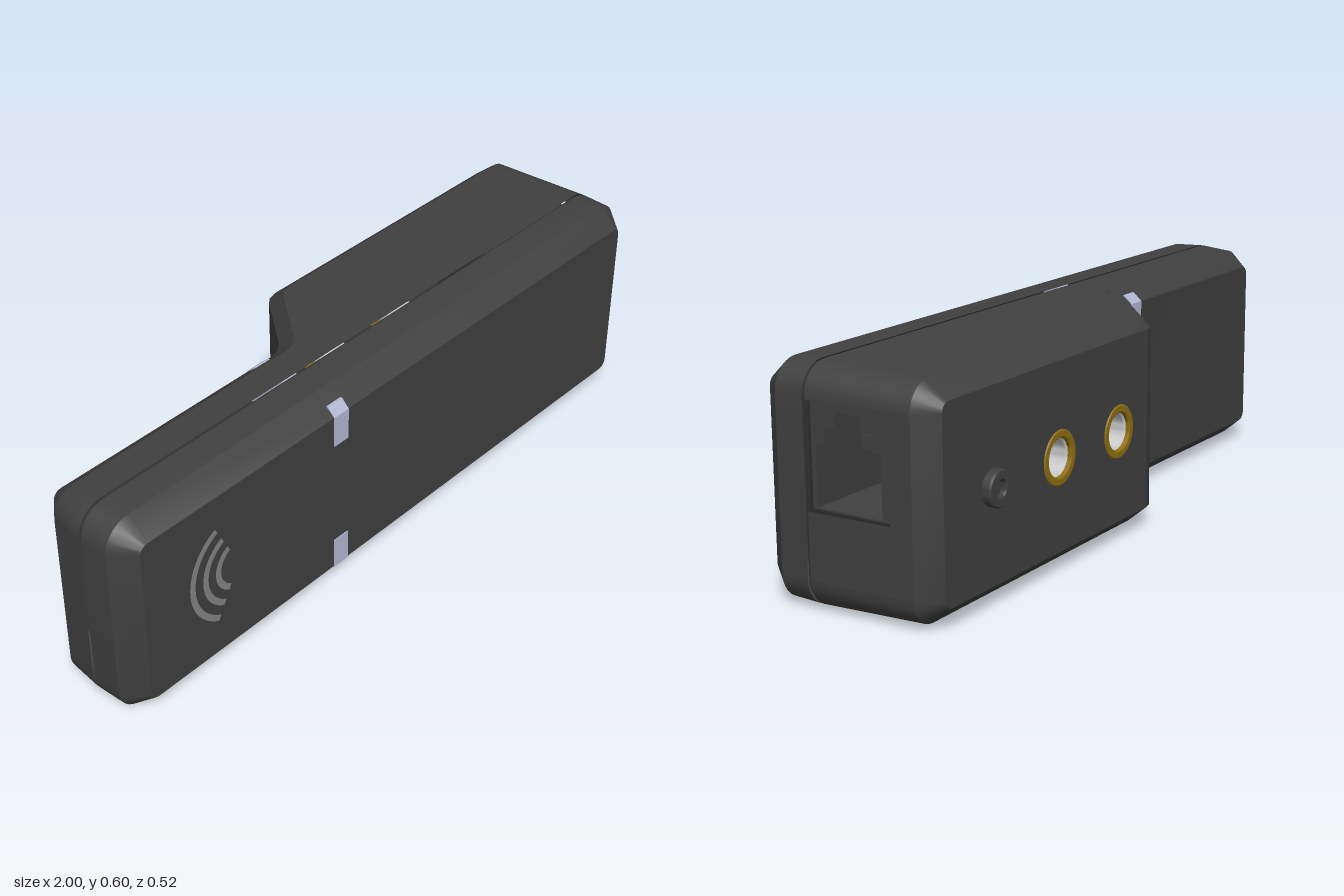
import * as THREE from 'three';
import { toCreasedNormals } from 'three/addons/utils/BufferGeometryUtils.js';

const CY = 0.3, R = 0.08, INSET = 0.055, SEAM = 0.111, DEEP = -0.238;
const mat = (color) => new THREE.MeshStandardMaterial({ color, side: THREE.DoubleSide });
const dark = mat(0x404040), black = mat(0x303030), gold = mat(0x907010);
const light = mat(0xb4b9d6), metal = mat(0xcccccc), print = mat(0x848484);

// Back surface: thin handle on the left, ramp, then the deep housing
const ramp = [[-0.2, -0.037], [-0.17, -0.043], [-0.14, -0.065], [-0.02, -0.215], [0, -0.231], [0.03, DEEP]];
function backZ(x) {
  if (x <= ramp[0][0]) return ramp[0][1];
  for (let i = 1; i < ramp.length; i++) {
    const [x0, z0] = ramp[i - 1], [x1, z1] = ramp[i];
    if (x <= x1) return z0 + (z1 - z0) * (x - x0) / (x1 - x0);
  }
  return DEEP;
}

// Upper half of a rounded outline, from left end to right end, shrunk by d
function outline(d) {
  const pts = [], n = 7, r = R - d;
  for (let i = 0; i <= n; i++) {
    const a = Math.PI - (i / n) * Math.PI / 2;
    pts.push([-1 + R + r * Math.cos(a), CY - R + r * Math.sin(a)]);
  }
  const right = pts.map(([x, h]) => [-x, h]).reverse();
  return [...pts, ...ramp.map(([x]) => [x, CY - d]), ...right];
}

// Half shell: seam ring, drafted wall, chamfer, flat cap; flip = -1 mirrors it to the front
function shellGeometry({ seam, back, chamfer, draft, flip = 1, capUntil = Infinity, openEnd = false }) {
  const rim = outline(0), wall = outline(draft), inner = outline(INSET);
  const rows = rim.map(([x, h], i) => {
    const zb = back(inner[i][0]);
    const half = [[x, h, seam], [...wall[i], zb + chamfer], [...inner[i], zb]];
    const low = half.map(([a, b, c]) => [a, -b, c]).reverse();
    return [...half, ...low].map(([a, b, c]) => [a, CY + b, c * flip]);
  });
  const pos = [];
  const quad = (a, b, c, d) => {
    const f = flip > 0 ? [a, b, c, a, c, d] : [a, c, b, a, d, c];
    f.forEach((p) => pos.push(...p));
  };
  for (let i = 0; i < rows.length - 1; i++) {
    for (let k = 0; k < 5; k++) {
      if (k === 2 && inner[i][0] >= capUntil) continue;
      quad(rows[i][k], rows[i + 1][k], rows[i + 1][k + 1], rows[i][k + 1]);
    }
  }
  const L = rows[0], E = rows[rows.length - 1];
  quad(L[0], L[1], L[4], L[5]);
  quad(L[1], L[2], L[3], L[4]);
  quad(E[4], E[3], E[2], E[1]);
  if (!openEnd) quad(E[5], E[4], E[1], E[0]);
  const g = new THREE.BufferGeometry();
  g.setAttribute('position', new THREE.Float32BufferAttribute(pos, 3));
  return toCreasedNormals(g, 0.6);
}

const shapeOf = (pts) => new THREE.Shape(pts.map(([x, y]) => new THREE.Vector2(x, y)));
// Shape given as [z, y], extruded along x from x0 to x1
function prismX(pts, x0, x1, hole) {
  const s = shapeOf(pts.map(([z, y]) => [-z, y]));
  if (hole) s.holes.push(shapeOf(hole.map(([z, y]) => [-z, y])));
  return new THREE.ExtrudeGeometry(s, { depth: x1 - x0, bevelEnabled: false }).rotateY(Math.PI / 2).translate(x0, 0, 0);
}
// Turned part facing the back, profile as [radius, height above the back]
function turned(profile, x) {
  const g = new THREE.LatheGeometry(profile.map(([r, h]) => new THREE.Vector2(r, h)), 40);
  return toCreasedNormals(g.rotateX(-Math.PI / 2), 0.5).translate(x, CY, DEEP);
}

export function createModel() {
  const group = new THREE.Group();
  const add = (name, geometry, material) => {
    const m = new THREE.Mesh(geometry, material);
    m.name = name;
    group.add(m);
    return m;
  };

  // Housing halves
  add('frontShell', shellGeometry({ seam: -0.119, back: () => -0.26, chamfer: 0.06, draft: 0.003, flip: -1 }), dark);
  const draft = 0.009;
  add('rearShell', shellGeometry({ seam: SEAM, back: backZ, chamfer: 0.055, draft, capUntil: 0.03, openEnd: true }), dark);

  // Recessed seam between the halves
  const seamTop = outline(0.008).map(([x, h]) => [x, CY + h]);
  const seamLow = outline(0.008).map(([x, h]) => [x, CY - h]).reverse();
  add('seam', new THREE.ExtrudeGeometry(shapeOf([...seamTop, ...seamLow]), { depth: 0.014, bevelEnabled: false })
    .translate(0, 0, 0.108), black);

  // Flat back of the deep housing, with two bushing holes
  const bushingX = [0.175, 0.46];
  const flat = outline(INSET).filter(([x]) => x >= 0.03);
  const plate = shapeOf([...flat.map(([x, h]) => [-x, CY + h]), ...flat.map(([x, h]) => [-x, CY - h]).reverse()]);
  bushingX.forEach((x) => plate.holes.push(new THREE.Path().absarc(-x, CY, 0.071, 0, Math.PI * 2, true)));
  add('backPlate', new THREE.ShapeGeometry(plate, 40).rotateY(Math.PI).translate(0, 0, DEEP), dark);

  // Threaded bushings with gold collars
  bushingX.forEach((x) => {
    add('bushingCollar', turned([[0.05, -0.03], [0.05, 0], [0.054, 0.003], [0.069, 0.003], [0.072, 0], [0.072, -0.03]], x), gold);
    add('bushingBore', turned([[0, -0.13], [0.045, -0.13], [0.045, -0.012], [0.05, -0.008]], x), metal);
  });

  // Round button with a hollow centre
  add('button', turned([[0, 0.01], [0.02, 0.01], [0.02, 0.02], [0.024, 0.024], [0.043, 0.024], [0.047, 0.02], [0.047, -0.01]], 0.75), dark);

  // Right end wall, notched for the socket and leaning with the draft
  const wall = new THREE.ShapeGeometry(shapeOf([
    [SEAM, 0.52], [-0.183, 0.52], [-0.183, 0.08], [SEAM, 0.08],
    [SEAM, 0.25], [-0.122, 0.25], [-0.122, 0.517], [SEAM, 0.517],
  ].map(([z, y]) => [-z, y]))).rotateY(Math.PI / 2);
  const p = wall.attributes.position;
  for (let i = 0; i < p.count; i++) p.setX(i, 1 - draft * (SEAM - p.getZ(i)) / (SEAM + 0.183));
  wall.computeVertexNormals();
  add('endWall', wall, dark);

  // Socket with a stepped opening
  const socketHole = [
    [-0.093, 0.257], [0.095, 0.257], [0.095, 0.413], [0.07, 0.413], [0.07, 0.455], [0.037, 0.455],
    [0.037, 0.494], [-0.037, 0.494], [-0.037, 0.455], [-0.068, 0.455], [-0.068, 0.413], [-0.093, 0.413],
  ];
  add('socket', prismX([[-0.119, 0.253], [0.117, 0.253], [0.117, 0.514], [-0.119, 0.514]], 0.6, 0.983, socketHole), dark);
  add('socketBack', new THREE.BoxGeometry(0.02, 0.26, 0.23).translate(0.6, 0.384, 0), black);
  add('socketShelf', new THREE.BoxGeometry(0.25, 0.034, 0.117).translate(0.75, 0.397, -0.01), dark);
  add('socketContact', new THREE.BoxGeometry(0.02, 0.032, 0.009).translate(0.62, 0.397, 0.065), metal);
  add('socketLamp', new THREE.BoxGeometry(0.02, 0.064, 0.037).translate(0.62, 0.462, 0.019), light);

  // Light guides running from front to back, upper and lower
  const guide = [[0.262, 0.455], [0.262, 0.546], [0.24, 0.568], [-0.015, 0.568], [-0.039, 0.546], [-0.039, 0.455]];
  add('upperLightGuide', prismX(guide, -0.285, -0.232), light);
  add('lowerLightGuide', prismX(guide.map(([z, y]) => [z, 2 * CY - y]), -0.285, -0.232), light);

  // Three printed signal arcs on the front
  const span = 2.2;
  [0.07, 0.113, 0.157].forEach((r) => add('signalArc',
    new THREE.RingGeometry(r - 0.009, r + 0.009, 32, 1, Math.PI - span / 2, span).translate(-0.635, CY + 0.005, 0.2615), print));

  return group;
}
